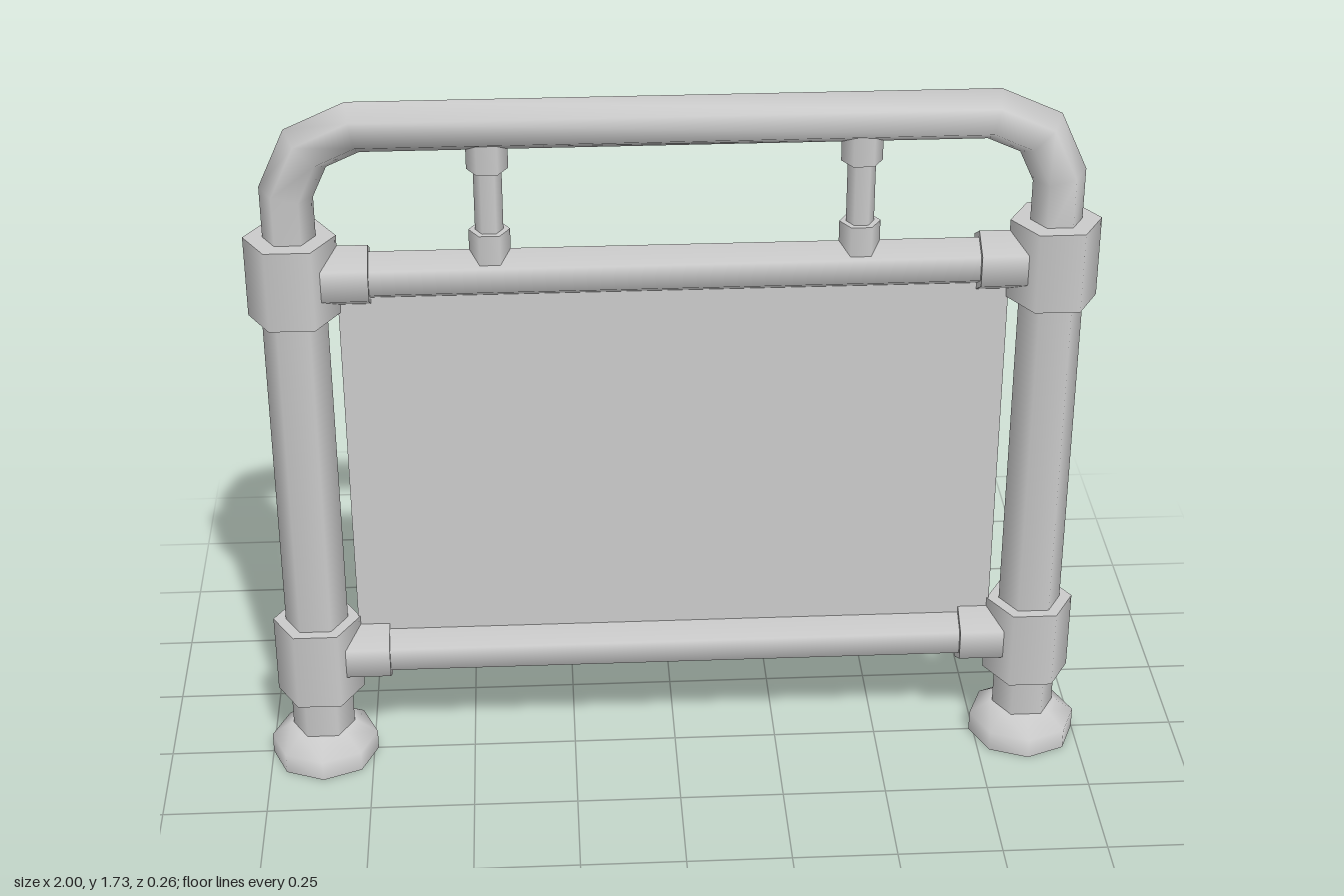
import * as THREE from 'three';
import { mergeVertices } from 'three/addons/utils/BufferGeometryUtils.js';

const grey = new THREE.MeshStandardMaterial({ color: 0xcccccc });
const greyDouble = new THREE.MeshStandardMaterial({ color: 0xcccccc, side: THREE.DoubleSide });

const POST_X = 0.87;
const TOP_Y = 1.31, LOW_Y = 0.293;

function add(parent, name, geometry, material = grey) {
  const mesh = new THREE.Mesh(geometry, material);
  mesh.name = name;
  parent.add(mesh);
  return mesh;
}

// upright six-sided bar with its corners on the x axis
function upright(parent, name, radius, x, y0, y1) {
  const g = new THREE.CylinderGeometry(radius, radius, y1 - y0, 6, 1, false, Math.PI / 6);
  add(parent, name, g.translate(x, (y0 + y1) / 2, 0));
}

// horizontal six-sided bar with ridges on top and bottom
function level(parent, name, radius, x0, x1, y) {
  const g = new THREE.CylinderGeometry(radius, radius, x1 - x0, 6, 1, false, Math.PI / 6);
  add(parent, name, g.rotateZ(Math.PI / 2).translate((x0 + x1) / 2, y, 0));
}

// six-sided tube bent along a path in the xy plane, with mitred joints
function bentTube(path, radius) {
  const last = path.length - 1;
  const g = new THREE.CylinderGeometry(radius, radius, last, 6, last, true, Math.PI / 6);
  const dirs = path.slice(1).map((p, i) => p.clone().sub(path[i]).normalize());
  const pos = g.attributes.position;
  for (let v = 0; v < pos.count; v++) {
    const i = Math.round(pos.getY(v) + last / 2);
    const a = dirs[Math.max(i - 1, 0)], b = dirs[Math.min(i, last - 1)];
    const t = a.clone().add(b).normalize();
    const s = pos.getX(v) / t.dot(a);
    pos.setXYZ(v, path[i].x + t.y * s, path[i].y - t.x * s, pos.getZ(v));
  }
  g.deleteAttribute('uv');
  g.deleteAttribute('normal');
  const merged = mergeVertices(g, 1e-4);
  merged.computeVertexNormals();
  return merged;
}

export function createModel() {
  const model = new THREE.Group();
  model.name = 'railing';

  // posts, feet, collars and rail sockets, mirrored
  const footProfile = [[0.13, 0], [0.13, 0.05], [0.08, 0.085], [0, 0.085]]
    .map(([r, y]) => new THREE.Vector2(r, y));
  for (const [side, s] of [['left', 1], ['right', -1]]) {
    const x = s * POST_X;
    upright(model, side + 'Post', 0.075, x, 0.08, 1.39);
    const foot = new THREE.LatheGeometry(footProfile, 8);
    add(model, side + 'Foot', foot.translate(x, 0, 0), greyDouble);
    upright(model, side + 'LowerCollar', 0.105, x, 0.19, 0.39);
    upright(model, side + 'UpperCollar', 0.105, x, 1.215, 1.41);
    const xs = [s * 0.695, s * 0.83].sort((a, b) => a - b);
    level(model, side + 'LowerSocket', 0.074, xs[0], xs[1], LOW_Y);
    level(model, side + 'UpperSocket', 0.074, xs[0], xs[1], TOP_Y);

    // short strut between upper rail and handrail
    upright(model, side + 'Strut', 0.032, s * 0.42, 1.33, 1.65);
    upright(model, side + 'StrutLowerSleeve', 0.047, s * 0.42, 1.32, 1.417);
    upright(model, side + 'StrutUpperSleeve', 0.047, s * 0.42, 1.566, 1.66);
  }

  // horizontal rails
  level(model, 'lowerRail', 0.058, -0.8, 0.8, LOW_Y);
  level(model, 'upperRail', 0.058, -0.8, 0.8, TOP_Y);

  // thin infill panel
  const panel = new THREE.PlaneGeometry(1.54, TOP_Y - LOW_Y);
  add(model, 'panel', panel.translate(0, (TOP_Y + LOW_Y) / 2, 0), greyDouble);

  // bent handrail
  const half = [[POST_X, 1.38], [POST_X, 1.52], [0.822, 1.624], [0.715, 1.672]];
  const path = [...half.map(([x, y]) => [-x, y]), ...half.slice().reverse()]
    .map(([x, y]) => new THREE.Vector2(x, y));
  add(model, 'handrail', bentTube(path, 0.06));

  return model;
}
